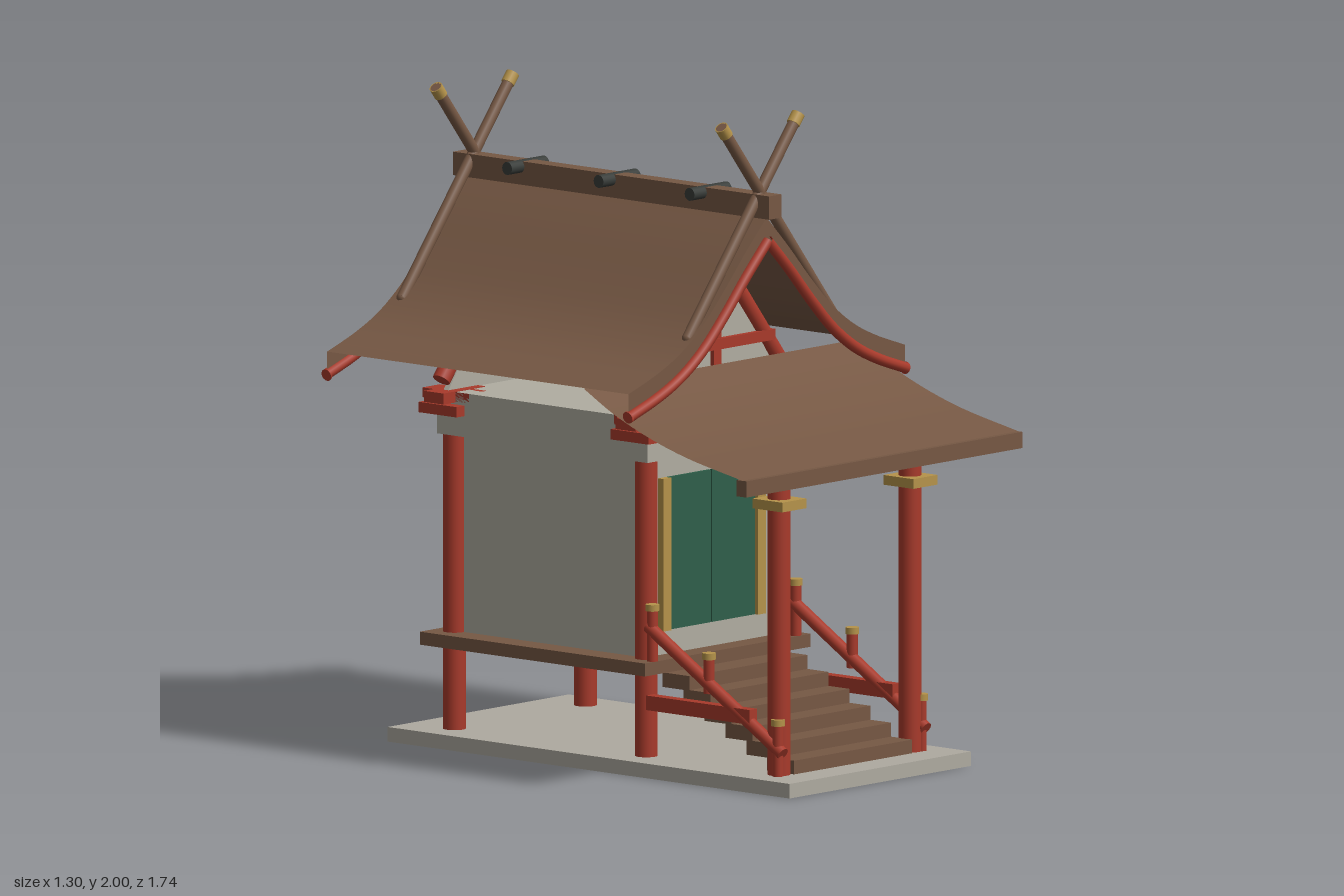
import * as THREE from 'three';

const mat = (name, color) => {
  const m = new THREE.MeshStandardMaterial({ color, side: THREE.DoubleSide });
  m.name = name;
  return m;
};
const V = (x, y, z) => new THREE.Vector3(x, y, z);

export function createModel() {
  const red = mat('vermilion paint', 0xa83a2b);
  const wood = mat('brown wood', 0x765844);
  const plaster = mat('plaster', 0xb0ada1);
  const stone = mat('stone', 0xaeaaa0);
  const green = mat('green door paint', 0x2f5f4a);
  const brass = mat('brass', 0xb5934a);
  const iron = mat('dark iron', 0x383c39);

  const model = new THREE.Group();
  model.name = 'shrine';

  const add = (name, geometry, material) => {
    const mesh = new THREE.Mesh(geometry, material);
    mesh.name = name;
    model.add(mesh);
    return mesh;
  };
  // box from its minimum and maximum corners
  const box = (name, m, x0, x1, y0, y1, z0, z1) =>
    add(name, new THREE.BoxGeometry(x1 - x0, y1 - y0, z1 - z0), m)
      .position.set((x0 + x1) / 2, (y0 + y1) / 2, (z0 + z1) / 2);
  // round bar between two points
  const bar = (name, m, a, b, r, sides = 16) => {
    const d = b.clone().sub(a);
    const mesh = add(name, new THREE.CylinderGeometry(r, r, d.length(), sides), m);
    mesh.position.copy(a).add(b).multiplyScalar(0.5);
    mesh.quaternion.setFromUnitVectors(V(0, 1, 0), d.normalize());
    return mesh;
  };
  // thin surface spanning two lines of points
  const sheet = (name, m, a, b) => {
    const g = new THREE.BufferGeometry().setFromPoints([...a, ...b]);
    const n = a.length, index = [];
    for (let i = 0; i < n - 1; i++) index.push(i, n + i, i + 1, i + 1, n + i, n + i + 1);
    g.setIndex(index);
    g.computeVertexNormals();
    return add(name, g, m);
  };
  const curve = (pts) => new THREE.CatmullRomCurve3(pts);

  // ground slab, raised deck and stairs
  box('base', stone, -0.415, 0.415, 0, 0.045, -0.79, 0.845);
  box('deck', wood, -0.38, 0.38, 0.305, 0.345, -0.69, 0.225);
  for (let i = 0; i < 6; i++) {
    const z = 0.735 - i * 0.085, top = 0.087 + i * 0.043;
    box('step', wood, -0.27, 0.27, top - 0.045, top, z - 0.11, z);
  }

  // hall walls with the upper band
  box('wall', plaster, -0.295, 0.295, 0.345, 0.96, -0.61, 0.15);
  box('wallBand', plaster, -0.34, 0.34, 0.955, 1.09, -0.655, 0.2);

  for (const s of [-1, 1]) {
    // doors and jambs
    box('door', green, s < 0 ? -0.2 : 0.003, s < 0 ? -0.003 : 0.2, 0.42, 0.89, 0.15, 0.159);
    box('doorJamb', brass, s * 0.217 - 0.018, s * 0.217 + 0.018, 0.42, 0.89, 0.15, 0.172);

    // hall pillars with stacked bracket arms
    for (const z of [0.16, -0.62]) {
      const x = s * 0.3;
      bar('pillar', red, V(x, 0.045, z), V(x, 1, z), 0.035, 20);
      box('lowerBracket', red, x - 0.077, x + 0.077, 1.02, 1.052, z - 0.077, z + 0.077);
      box('bracketArm', red, x - 0.095, x + 0.095, 1.058, 1.092, z - 0.04, z + 0.04);
      box('bracketArm', red, x - 0.04, x + 0.04, 1.06, 1.09, z - 0.095, z + 0.095);
      bar('gableRafter', red, V(s * 0.36, 1.125, z), V(0, 1.575, z), 0.028);
    }

    // porch pillars
    bar('porchPillar', red, V(s * 0.3, 0.045, 0.7), V(s * 0.3, 0.96, 0.7), 0.035, 20);
    box('porchCapital', brass, s * 0.3 - 0.055, s * 0.3 + 0.055, 0.865, 0.895, 0.64, 0.762);

    // stair railing
    const rx = s * 0.328;
    bar('handrail', red, V(rx, 0.115, 0.74), V(rx, 0.45, 0.195), 0.02);
    box('lowerRail', red, rx - 0.018, rx + 0.018, 0.195, 0.24, 0.2, 0.62);
    for (const [z, y0, y1] of [[0.72, 0.045, 0.2], [0.44, 0.27, 0.375], [0.21, 0.345, 0.5]]) {
      bar('railPost', red, V(rx, y0, z), V(rx, y1, z), 0.017);
      bar('railPostCap', brass, V(rx, y1, z), V(rx, y1 + 0.02, z), 0.021);
    }
  }
  box('porchBeam', red, -0.405, 0.405, 0.937, 0.98, 0.667, 0.735);

  // gable panels with king post and tie beam
  for (const z of [0.16, -0.62]) {
    const tri = new THREE.Shape([
      new THREE.Vector2(-0.34, 1.09), new THREE.Vector2(0.34, 1.09), new THREE.Vector2(0, 1.56)]);
    add('gablePanel', new THREE.ExtrudeGeometry(tri, { depth: 0.02, bevelEnabled: false }), plaster)
      .position.z = z - 0.01;
    box('kingPost', red, -0.017, 0.017, 1.09, 1.51, z - 0.024, z + 0.024);
    box('tieBeam', red, -0.26, 0.26, 1.262, 1.295, z - 0.028, z + 0.028);
  }

  // curved main roof, with end faces and red bargeboards
  const profile = [[0, 1.69], [0.1, 1.59], [0.2, 1.482], [0.3, 1.385], [0.4, 1.315], [0.5, 1.268], [0.633, 1.222]];
  const front = 0.383, back = -0.842;
  for (const s of [-1, 1]) {
    const line = curve(profile.map(([x, y]) => V(s * x, y, 0))).getPoints(28);
    const at = (z, dy = 0) => line.map((p) => V(p.x, p.y + dy, z));
    sheet('roofSlope', wood, at(front), at(back));
    for (const z of [front, back]) {
      sheet('roofEnd', wood, at(z), at(z, -0.065));
      const path = curve(at(z + (z > 0 ? 0.004 : -0.004), -0.071));
      add('bargeboard', new THREE.TubeGeometry(path, 28, 0.017, 10), red);
      const tip = at(z, -0.071).pop();
      bar('bargeboardTip', red, tip, tip.clone().add(V(s * 0.004, -0.001, 0)), 0.019);
    }
  }

  // porch canopy and its front edge
  const sweep = curve([V(0, 1.22, 0.2), V(0, 1.155, 0.32), V(0, 1.1, 0.455), V(0, 1.052, 0.614), V(0, 1.005, 0.845)]).getPoints(20);
  sheet('canopy', wood, sweep.map((p) => V(-0.632, p.y, p.z)), sweep.map((p) => V(0.632, p.y, p.z)));
  box('canopyEdge', wood, -0.632, 0.632, 0.955, 1.005, 0.822, 0.862);

  // ridge beam and its cross billets
  box('ridgeBeam', wood, -0.028, 0.028, 1.69, 1.762, -0.868, 0.418);
  for (const z of [0.145, -0.225, -0.597])
    bar('ridgeBillet', iron, V(-0.085, 1.746, z), V(0.085, 1.746, z), 0.02);

  // crossed finials with brass tips
  for (const z of [0.355, -0.806]) {
    for (const s of [-1, 1]) {
      const foot = V(-s * 0.33, 1.355, z), top = V(s * 0.176, 1.986, z);
      bar('crossedFinial', wood, foot, top, 0.018);
      add('finialFoot', new THREE.SphereGeometry(0.018, 12, 8), wood).position.copy(foot);
      bar('finialTip', brass, foot.clone().lerp(top, 0.955), top, 0.021);
    }
  }

  model.rotation.y = 0.01;
  return model;
}
